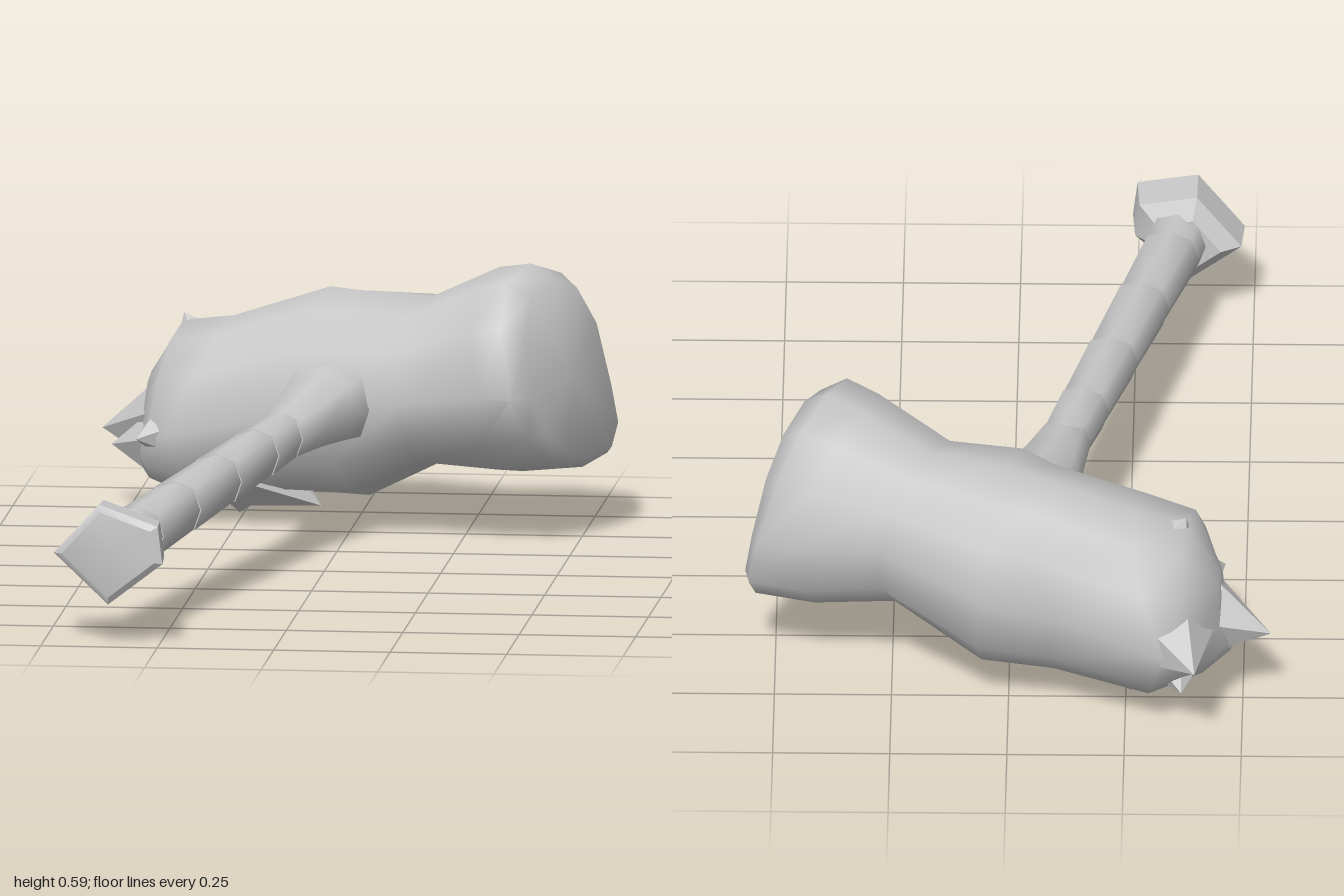
import * as THREE from 'three';
import { toCreasedNormals } from 'three/addons/utils/BufferGeometryUtils.js';

const V = (a) => new THREE.Vector3(...a);

// Skin a list of point rings, closing both ends with fans
function loft(rings, crease = 1) {
  const n = rings[0].length, pos = [], idx = [];
  rings.forEach((r) => r.forEach((p) => pos.push(p.x, p.y, p.z)));
  for (let i = 0; i < rings.length - 1; i++) {
    for (let j = 0; j < n; j++) {
      const k = (j + 1) % n, a = i * n + j, b = i * n + k;
      idx.push(a, b, a + n, b, b + n, a + n);
    }
  }
  [0, rings.length - 1].forEach((i) => {
    const c = rings[i].reduce((s, p) => s.add(p), new THREE.Vector3()).divideScalar(n);
    const ci = pos.length / 3;
    pos.push(c.x, c.y, c.z);
    for (let j = 0; j < n; j++) {
      const a = i * n + j, b = i * n + (j + 1) % n;
      if (i === 0) idx.push(ci, b, a); else idx.push(ci, a, b);
    }
  });
  const g = new THREE.BufferGeometry();
  g.setAttribute('position', new THREE.Float32BufferAttribute(pos, 3));
  g.setIndex(idx);
  return toCreasedNormals(g, crease);
}

// Squarish oval through four extreme points
function ring(front, back, top, bottom, sides = 10) {
  const f = V(front), b = V(back), c = f.clone().lerp(b, 0.5);
  const d = f.clone().sub(c), up = V(top).sub(c), down = c.clone().sub(V(bottom));
  const soft = (v) => Math.sign(v) * Math.abs(v) ** 0.85;
  return Array.from({ length: sides }, (_, j) => {
    const t = (j / sides) * Math.PI * 2;
    return c.clone().addScaledVector(d, soft(Math.cos(t)))
      .addScaledVector(Math.sin(t) > 0 ? up : down, soft(Math.sin(t)));
  });
}

// Oval section of the shaft at depth z
function shaftRing(z, rx, ry) {
  const x = -0.14 - 0.235 * z, y = 0.257 - 0.068 * z, s = 0.23;
  return ring([x + rx, y, z + rx * s], [x - rx, y, z - rx * s], [x, y + ry, z], [x, y - ry, z], 8);
}

export function createModel() {
  const model = new THREE.Group();
  const stone = new THREE.MeshStandardMaterial({ color: 0xc8c8c8, side: THREE.DoubleSide });
  stone.name = 'grey stone';
  const add = (name, geometry) => {
    const m = new THREE.Mesh(geometry, stone);
    m.name = name;
    model.add(m);
    return m;
  };

  // Hammer head: striking face at +x, narrow waist, broken end at -x
  add('head', loft([
    ring([0.41, 0.33, -0.30], [0.55, 0.31, -0.61], [0.44, 0.56, -0.47], [0.52, 0.17, -0.50], 12),
    ring([0.37, 0.33, -0.26], [0.54, 0.31, -0.65], [0.39, 0.59, -0.49], [0.50, 0.15, -0.50], 12),
    ring([0.30, 0.33, -0.29], [0.46, 0.33, -0.70], [0.32, 0.575, -0.53], [0.37, 0.135, -0.52], 12),
    ring([0.12, 0.30, -0.37], [0.28, 0.33, -0.72], [0.17, 0.50, -0.58], [0.20, 0.15, -0.56], 12),
    ring([-0.05, 0.28, -0.41], [0.06, 0.28, -0.85], [0.00, 0.50, -0.64], [0.03, 0.06, -0.62], 12),
    ring([-0.20, 0.24, -0.48], [-0.10, 0.25, -0.86], [-0.06, 0.50, -0.68], [-0.12, 0.06, -0.67], 12),
    ring([-0.39, 0.20, -0.50], [-0.33, 0.20, -0.93], [-0.27, 0.43, -0.70], [-0.31, 0.03, -0.70], 12),
    ring([-0.44, 0.19, -0.54], [-0.39, 0.20, -0.90], [-0.38, 0.415, -0.72], [-0.43, 0.08, -0.71], 12),
    ring([-0.46, 0.19, -0.64], [-0.45, 0.20, -0.80], [-0.45, 0.30, -0.73], [-0.48, 0.12, -0.73], 12),
  ], 1.1));

  // Broken shards around the rough end: base, tip, base radius
  const shards = [
    [[-0.34, 0.21, -0.82], [-0.40, 0.20, -1.00], 0.11],
    [[-0.42, 0.19, -0.72], [-0.56, 0.17, -0.77], 0.10],
    [[-0.41, 0.16, -0.65], [-0.53, 0.15, -0.68], 0.09],
    [[-0.36, 0.20, -0.62], [-0.46, 0.19, -0.51], 0.11],
    [[-0.25, 0.10, -0.71], [-0.26, 0.00, -0.72], 0.13],
    [[-0.32, 0.32, -0.72], [-0.38, 0.43, -0.73], 0.11],
    [[-0.35, 0.14, -0.76], [-0.37, 0.09, -0.89], 0.10],
    [[-0.22, 0.12, -0.62], [-0.07, 0.04, -0.59], 0.10],
  ];
  shards.forEach(([base, tip, r], i) => {
    const a = V(base), dir = V(tip).sub(a), len = dir.length();
    const g = new THREE.ConeGeometry(r, len, 5).toNonIndexed();
    g.computeVertexNormals();
    g.translate(0, len / 2, 0);
    const m = add('shard' + (i + 1), g);
    m.position.copy(a);
    m.quaternion.setFromUnitVectors(new THREE.Vector3(0, 1, 0), dir.normalize());
  });

  // Flared socket where the shaft enters the head
  add('socket', loft([
    shaftRing(-0.46, 0.11, 0.09),
    shaftRing(-0.37, 0.09, 0.075),
    shaftRing(-0.24, 0.07, 0.058),
    shaftRing(-0.12, 0.055, 0.05),
  ]));

  // Shaft of overlapping, slightly flared lengths
  const joints = [-0.16, 0.03, 0.27, 0.53, 0.77, 0.88];
  for (let i = 0; i < joints.length - 1; i++) {
    const r = 0.051 + i * 0.002;
    add('shaft' + (i + 1), loft([
      shaftRing(joints[i] - 0.02, r, r),
      shaftRing(joints[i + 1], r + 0.005, r + 0.004),
    ]));
  }

  // Irregular five-sided pommel
  const outline = [[-0.24, 0.18], [-0.25, 0.26], [-0.38, 0.30], [-0.48, 0.19], [-0.36, 0.085]];
  const pommelRing = (z, s) => outline.map(([x, y]) => {
    const px = -0.355 + (x + 0.355) * s, py = 0.195 + (y - 0.195) * s;
    return new THREE.Vector3(px, py, z + (px + 0.355) * 0.27);
  });
  add('pommel', loft([
    pommelRing(0.83, 0.6), pommelRing(0.87, 0.95), pommelRing(0.96, 1), pommelRing(0.97, 0.85),
  ], 0.6));

  return model;
}
